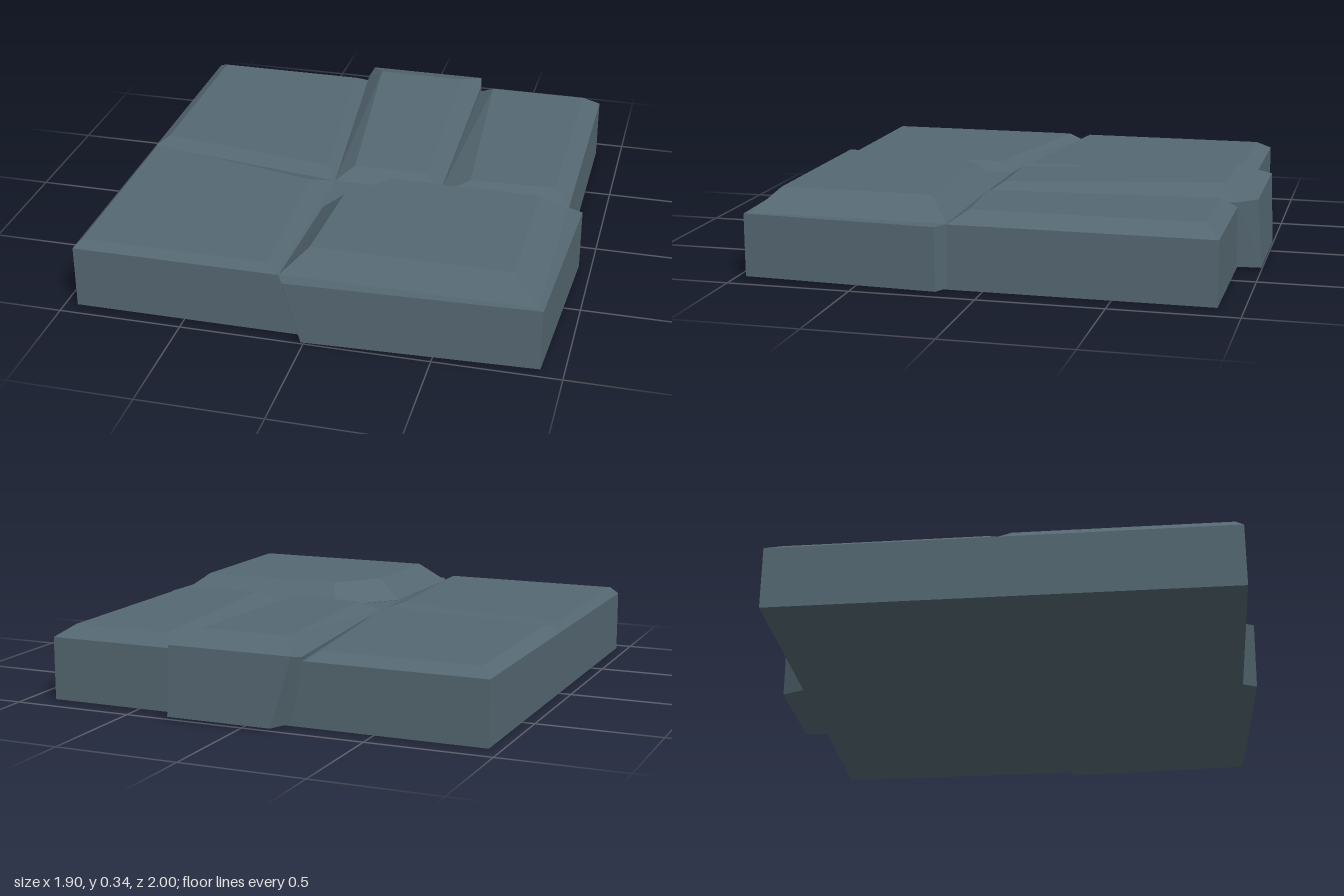
import * as THREE from 'three';

// Closed stone slab lofted through stacked loops of [x, y, z], each running from back left clockwise as seen from above
function loft(loops, closeBottom = false) {
  const pos = [];
  const tri = (a, b, c) => pos.push(...a, ...b, ...c);
  const n = loops[0].length;
  for (let k = 0; k < loops.length - 1; k++) {
    const lo = loops[k], hi = loops[k + 1];
    for (let i = 0; i < n; i++) {
      const j = (i + 1) % n;
      tri(lo[i], hi[i], hi[j]);
      tri(lo[i], hi[j], lo[j]);
    }
  }
  const top = loops[loops.length - 1], bottom = loops[0];
  for (let i = 1; i < n - 1; i++) {
    tri(top[0], top[i + 1], top[i]);
    if (closeBottom) tri(bottom[0], bottom[i], bottom[i + 1]);
  }
  const geo = new THREE.BufferGeometry();
  geo.setAttribute('position', new THREE.Float32BufferAttribute(pos, 3));
  geo.computeVertexNormals();
  return geo;
}

// Places a plan outline of [x, z] pairs at one height
const level = (y, outline) => outline.map(([x, z]) => [x, y, z]);

export function createModel() {
  const group = new THREE.Group();
  group.name = 'pavingStones';
  const stone = new THREE.MeshStandardMaterial({ color: 0x556872, flatShading: true });
  stone.name = 'slate stone';
  const RIM = 0.257;

  const add = (name, geo) => {
    const mesh = new THREE.Mesh(geo, stone);
    mesh.name = name;
    group.add(mesh);
    return mesh;
  };

  // Square bed under all the stones
  add('baseBlock', new THREE.BoxGeometry(1.84, RIM, 1.84)).position.set(-0.03, RIM / 2, 0.02);

  // Bevelled stone tops resting on the bed
  add('backLeftStone', loft([
    level(RIM, [[-0.95, -0.9], [-0.22, -0.9], [-0.1, 0.14], [-0.95, 0.01]]),
    level(0.29, [[-0.9, -0.84], [-0.26, -0.84], [-0.15, 0.07], [-0.9, -0.04]]),
  ]));
  add('backRightStone', loft([
    level(RIM, [[0.33, -0.9], [0.89, -0.9], [0.89, 0.14], [0.35, 0.14]]),
    level(0.305, [[0.4, -0.84], [0.82, -0.84], [0.82, 0.07], [0.47, 0.09]]),
  ]));
  add('frontLeftStone', loft([
    level(RIM, [[-0.95, 0.01], [-0.1, 0.14], [-0.12, 0.94], [-0.95, 0.94]]),
    level(0.288, [[-0.92, 0.06], [-0.19, 0.21], [-0.16, 0.91], [-0.92, 0.91]]),
  ]));

  // Long middle stone that juts out at the back and slopes down to the front
  add('middleStone', loft([
    level(0.01, [[-0.12, -1], [0.32, -1], [0.33, -0.85], [0.35, 0.14], [-0.1, 0.14], [-0.18, -0.85]]),
    [[-0.2, 0.29, -0.98], [0.32, 0.29, -0.98], [0.33, 0.275, -0.9],
      [0.35, RIM, 0.14], [-0.1, RIM, 0.14], [-0.21, 0.275, -0.91]],
    [[-0.13, 0.336, -0.84], [0.25, 0.336, -0.84], [0.25, 0.336, -0.83],
      [0.28, 0.303, 0.07], [-0.03, 0.303, 0.07], [-0.13, 0.336, -0.83]],
  ], true));

  // Raised front stone: overhanging body, then a steep bevelled cap
  add('frontRightBody', loft([
    level(0.006, [[0.15, 0.16], [0.89, 0.14], [0.95, 0.17], [0.91, 0.96], [-0.01, 1], [-0.04, 0.94], [0, 0.4]]),
    level(RIM + 0.002, [[0.11, 0.14], [0.89, 0.14], [0.95, 0.17], [0.91, 0.96], [-0.08, 1], [-0.11, 0.94], [-0.09, 0.38]]),
  ], true));
  add('frontRightCap', loft([
    level(RIM, [[0.11, 0.14], [0.89, 0.14], [0.89, 0.94], [-0.11, 0.94], [-0.09, 0.38]]),
    level(0.345, [[0.16, 0.23], [0.78, 0.23], [0.78, 0.85], [-0.01, 0.85], [0.01, 0.41]]),
  ]));

  return group;
}
